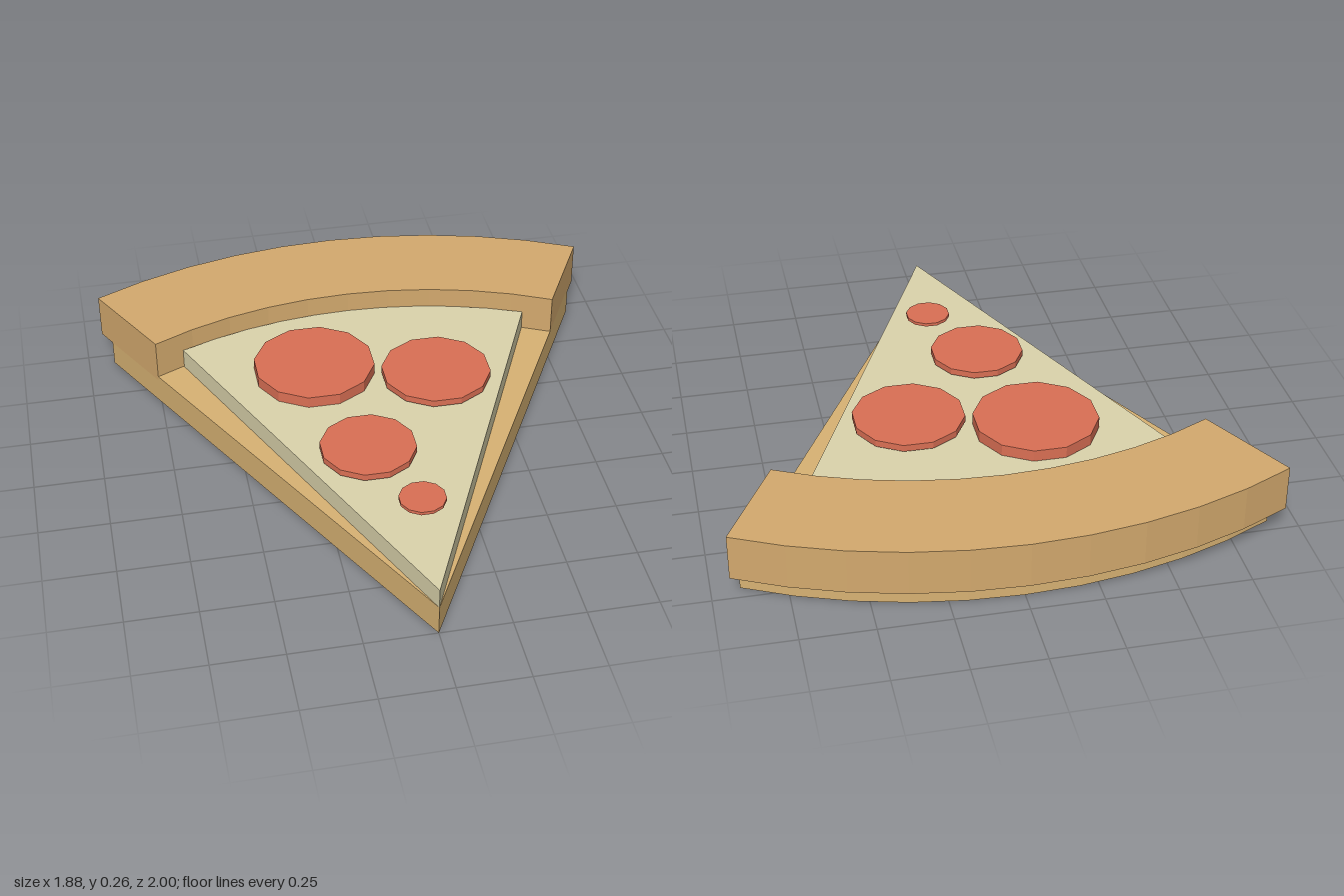
import * as THREE from 'three';

const TIP_Z = 1; // the slice's point is the centre of every arc
const SEGMENTS = 10;

const paint = (color) => new THREE.MeshStandardMaterial({ color, flatShading: true });

// Wedge (or ring segment when inner > 0) pointing back from the tip, from y0 to y1
function sector(name, inner, outer, halfDegrees, y0, y1, material) {
  const half = THREE.MathUtils.degToRad(halfDegrees);
  const arc = (r) => Array.from({ length: SEGMENTS + 1 }, (_, i) => {
    const a = half * (1 - (2 * i) / SEGMENTS);
    return new THREE.Vector2(r * Math.sin(a), r * Math.cos(a));
  });
  const near = inner > 0 ? arc(inner).reverse() : [new THREE.Vector2(0, 0)];
  const geometry = new THREE.ExtrudeGeometry(new THREE.Shape([...arc(outer), ...near]), {
    depth: y1 - y0,
    bevelEnabled: false,
  });
  geometry.rotateX(-Math.PI / 2).translate(0, y0, TIP_Z);
  const mesh = new THREE.Mesh(geometry, material);
  mesh.name = name;
  return mesh;
}

export function createModel() {
  const model = new THREE.Group();
  model.name = 'pizzaSlice';

  // Dough, cheese and raised crust
  model.add(
    sector('doughBase', 0, 1.925, 28, 0, 0.112, paint(0xd9b374)),
    sector('cheese', 0, 1.605, 24, 0.112, 0.187, paint(0xdcd4ac)),
    sector('crust', 1.61, 2, 28, 0.095, 0.26, paint(0xd4aa6e)),
  );

  // Sausage discs: x, z, radius, bottom, top
  const red = paint(0xdb7055);
  const discs = [
    [-0.195, -0.24, 0.222, 0.19, 0.232],
    [0.237, -0.125, 0.2, 0.198, 0.223],
    [-0.09, 0.262, 0.17, 0.197, 0.221],
    [0.037, 0.568, 0.082, 0.203, 0.215],
  ];
  for (const [x, z, r, y0, y1] of discs) {
    const disc = new THREE.Mesh(new THREE.CylinderGeometry(r, r, y1 - y0, 12), red);
    disc.name = 'sausageDisc';
    disc.position.set(x, (y0 + y1) / 2, z);
    disc.rotation.y = Math.PI / 12;
    model.add(disc);
  }
  return model;
}
